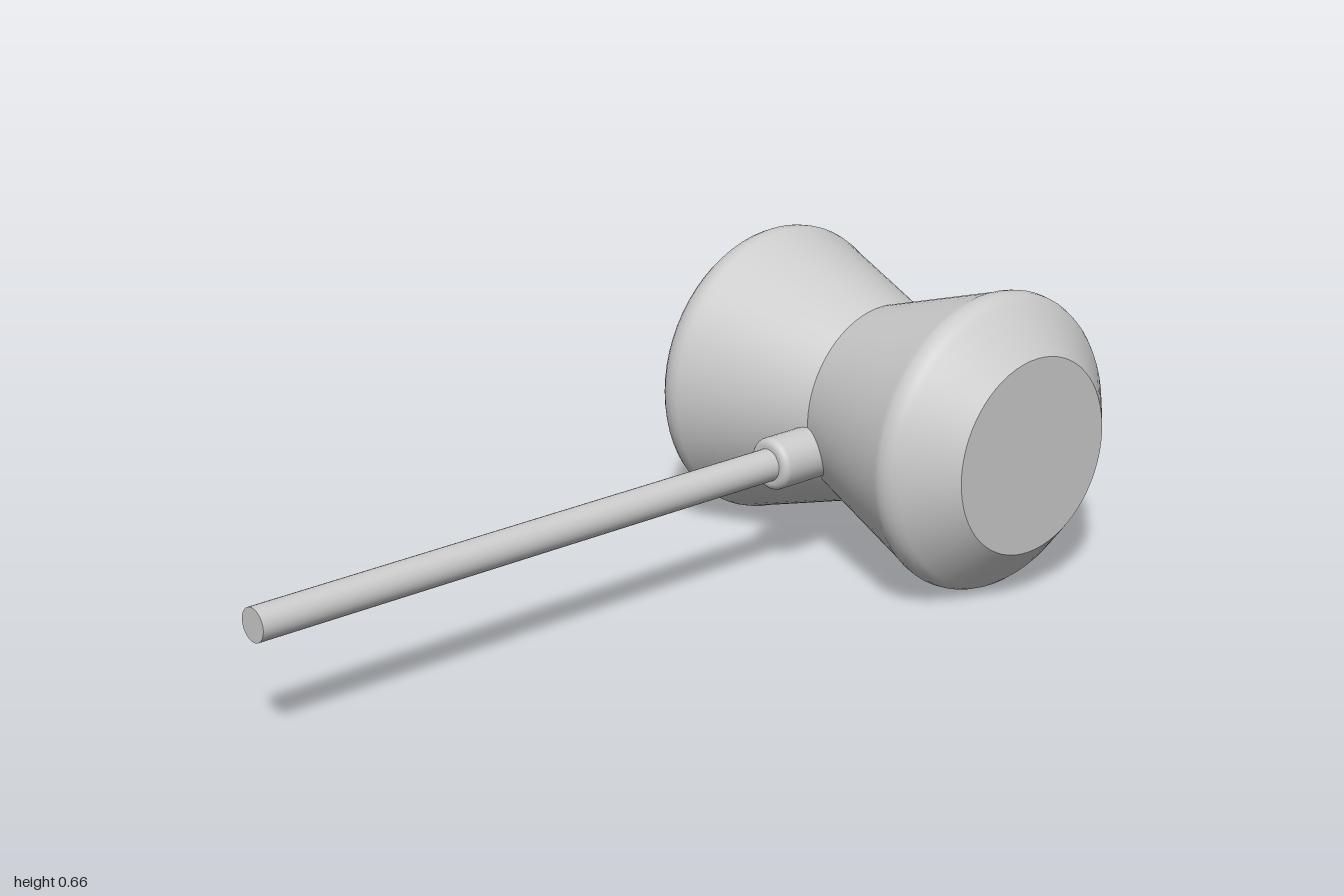
import * as THREE from 'three';

const material = new THREE.MeshStandardMaterial({ color: 0xcccccc });

function addMesh(parent, geometry, name) {
  const mesh = new THREE.Mesh(geometry, material);
  mesh.name = name;
  parent.add(mesh);
  return mesh;
}

export function createModel() {
  const model = new THREE.Group();
  model.name = 'mallet';

  // Head: two flared halves meeting at a sharp waist
  const head = new THREE.Group();
  head.name = 'head';
  head.position.set(0.665, 0.332, 0);
  model.add(head);

  const faceRadius = 0.217;
  const headLength = 0.455;
  const flare = [
    [0.223, 0], [0.256, 0.1], [0.289, 0.2], [0.321, 0.298],
    [0.327, 0.312], [0.33, 0.326], [0.328, 0.342], [0.322, 0.356],
    [0.312, 0.369], [0.265, 0.412], [faceRadius, headLength],
  ].map(([r, y]) => new THREE.Vector2(r, y));

  for (const [side, turn] of [['front', Math.PI / 2], ['back', -Math.PI / 2]]) {
    const half = new THREE.Group();
    half.name = side + 'Half';
    half.rotation.x = turn;
    head.add(half);
    addMesh(half, new THREE.LatheGeometry(flare, 64), side + 'Flare');
    const face = new THREE.CircleGeometry(faceRadius, 64);
    face.rotateX(-Math.PI / 2);
    face.translate(0, headLength, 0);
    addMesh(half, face, side + 'StrikingFace');
  }

  // Handle: thin rod running along x into the head
  const handle = new THREE.Group();
  handle.name = 'handle';
  handle.position.set(0, 0.267, 0);
  handle.rotation.z = -Math.PI / 2;
  model.add(handle);

  const rod = addMesh(handle, new THREE.CylinderGeometry(0.036, 0.036, 1.5, 24), 'rod');
  rod.position.y = -0.25;

  // Collar: socket with a rounded lip where the rod enters the head
  const lip = 0.016;
  const collarRadius = 0.058;
  const collar = [new THREE.Vector2(0.03, 0.326)];
  for (let i = 0; i <= 5; i++) {
    const a = (i / 5) * Math.PI / 2;
    collar.push(new THREE.Vector2(
      collarRadius - lip + lip * Math.sin(a),
      0.326 + lip - lip * Math.cos(a),
    ));
  }
  collar.push(new THREE.Vector2(collarRadius, 0.36), new THREE.Vector2(collarRadius, 0.5));
  addMesh(handle, new THREE.LatheGeometry(collar, 32), 'collar');

  return model;
}
